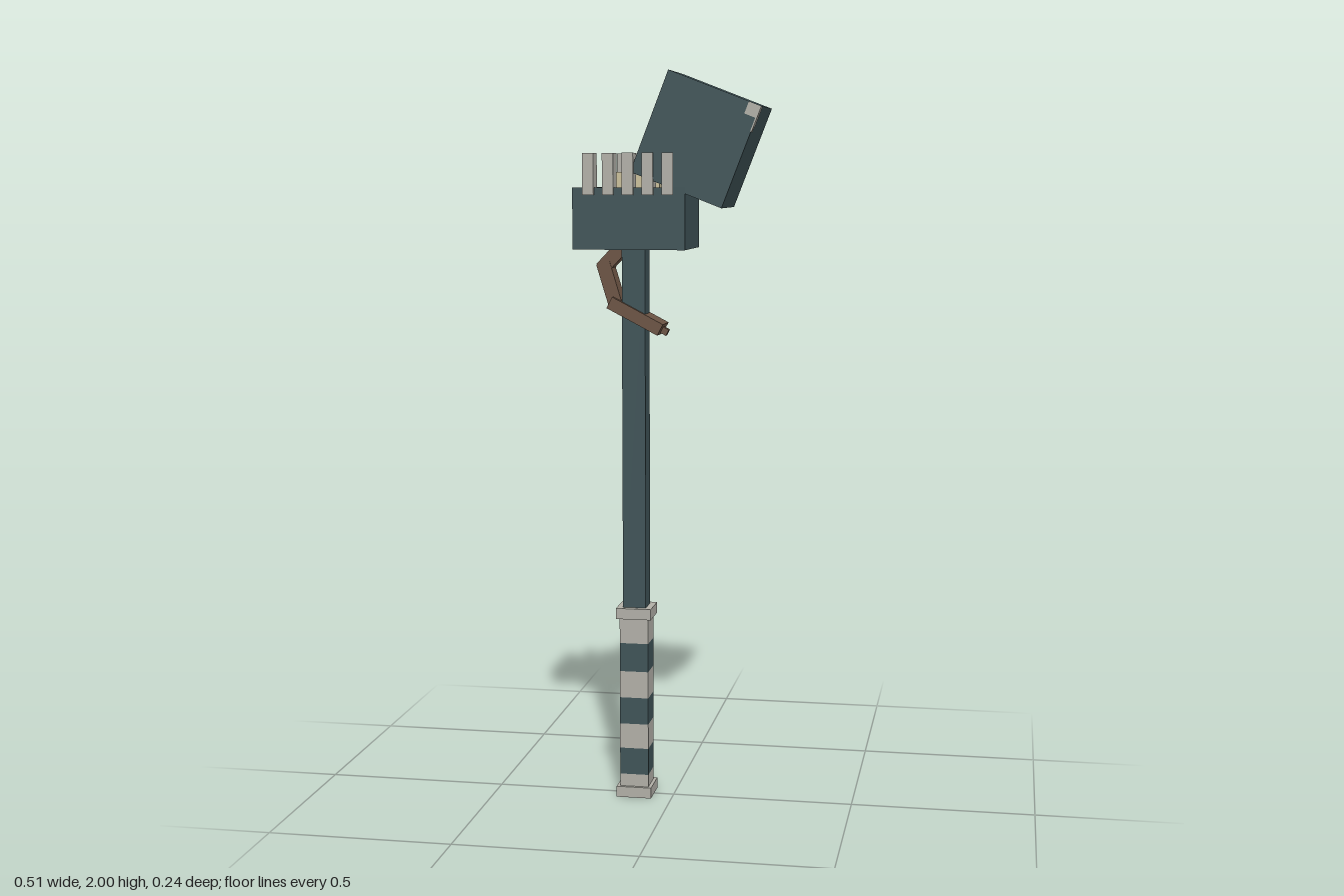
import * as THREE from 'three';

const mat = (name, color) => new THREE.MeshStandardMaterial({ name, color });

export function createModel() {
  const teal = mat('teal', 0x3f5357);
  const pale = mat('bone', 0xb1afa7);
  const brown = mat('leather brown', 0x6b5343);
  const gold = mat('gold', 0xcba661);
  const cream = mat('cream', 0xcabf9b);

  const model = new THREE.Group();
  model.name = 'hammer';

  // Box from its lower and upper limits on each axis
  const box = (name, material, [x0, x1], [y0, y1], [z0, z1], parent = model) => {
    const mesh = new THREE.Mesh(new THREE.BoxGeometry(x1 - x0, y1 - y0, z1 - z0), material);
    mesh.position.set((x0 + x1) / 2, (y0 + y1) / 2, (z0 + z1) / 2);
    mesh.name = name;
    parent.add(mesh);
    return mesh;
  };

  // Square section standing on the shaft axis
  const axisX = -0.105;
  const post = (name, material, half, y0, y1) =>
    box(name, material, [axisX - half, axisX + half], [y0, y1], [-half, half]);

  post('shaft', teal, 0.032, 0.54, 1.53);

  // Grip of alternating bands between two collars; brown underside
  const bands = [0.03, 0.065, 0.14, 0.21, 0.285, 0.36, 0.44, 0.51];
  for (let i = 0; i < bands.length - 1; i++) {
    post('gripBand', i % 2 ? teal : pale, 0.04, bands[i], bands[i + 1]);
  }
  post('upperCollar', pale, 0.049, 0.51, 0.54);
  post('pommel', [pale, pale, pale, brown, pale, pale], 0.049, 0, 0.03);

  // Lower jaw with its teeth; the outermost back tooth is missing
  box('lowerJaw', teal, [-0.254, 0.05], [1.53, 1.694], [-0.115, 0.114]);
  for (let i = 0; i < 5; i++) {
    const x = -0.21 + i * 0.0535;
    for (const side of [1, -1]) {
      if (i === 0 && side === -1) continue;
      const z = side * 0.0985;
      box('tooth', pale, [x - 0.015, x + 0.015], [1.675, 1.785], [z - 0.0225, z + 0.0225]);
    }
  }

  // Tongue: gold back, cream front, stepped colour edge on top
  box('tongueBack', gold, [-0.155, -0.03], [1.69, 1.735], [-0.054, 0.016]);
  box('tongueFront', cream, [-0.155, -0.03], [1.69, 1.735], [0.016, 0.051]);
  box('tongueStep', cream, [-0.122, -0.03], [1.73, 1.737], [0.004, 0.016]);
  box('tongueStep', cream, [-0.113, -0.03], [1.73, 1.737], [-0.02, 0.004]);

  // Tilted upper head, chipped at the front outer corner
  const head = new THREE.Group();
  head.name = 'upperHead';
  head.position.set(0.0765, 1.82, 0);
  head.rotation.z = -0.37;
  model.add(head);
  box('headBlock', teal, [-0.131, 0.131], [-0.142, 0.142], [-0.115, 0.114], head);
  box('frontChip', pale, [0.098, 0.131], [0.108, 0.141], [0.112, 0.116], head);
  box('sideChip', pale, [0.129, 0.133], [0.085, 0.141], [0.088, 0.116], head);
  box('sideChipTip', pale, [0.129, 0.133], [0.07, 0.085], [0.096, 0.116], head);

  // Hanging strap made of straight pieces in the xy plane
  const strap = (name, [ax, ay], [bx, by], thickness, width) => {
    const length = Math.hypot(bx - ax, by - ay);
    const mesh = new THREE.Mesh(new THREE.BoxGeometry(length, thickness, width), brown);
    mesh.position.set((ax + bx) / 2, (ay + by) / 2, 0);
    mesh.rotation.z = Math.atan2(by - ay, bx - ax);
    mesh.name = name;
    model.add(mesh);
  };
  strap('strapTop', [-0.138, 1.535], [-0.195, 1.475], 0.038, 0.05);
  strap('strapMiddle', [-0.19, 1.49], [-0.155, 1.375], 0.038, 0.056);
  strap('strapBottom', [-0.17, 1.385], [-0.03, 1.312], 0.034, 0.086);
  strap('strapTip', [-0.035, 1.312], [-0.016, 1.302], 0.018, 0.02);

  return model;
}
